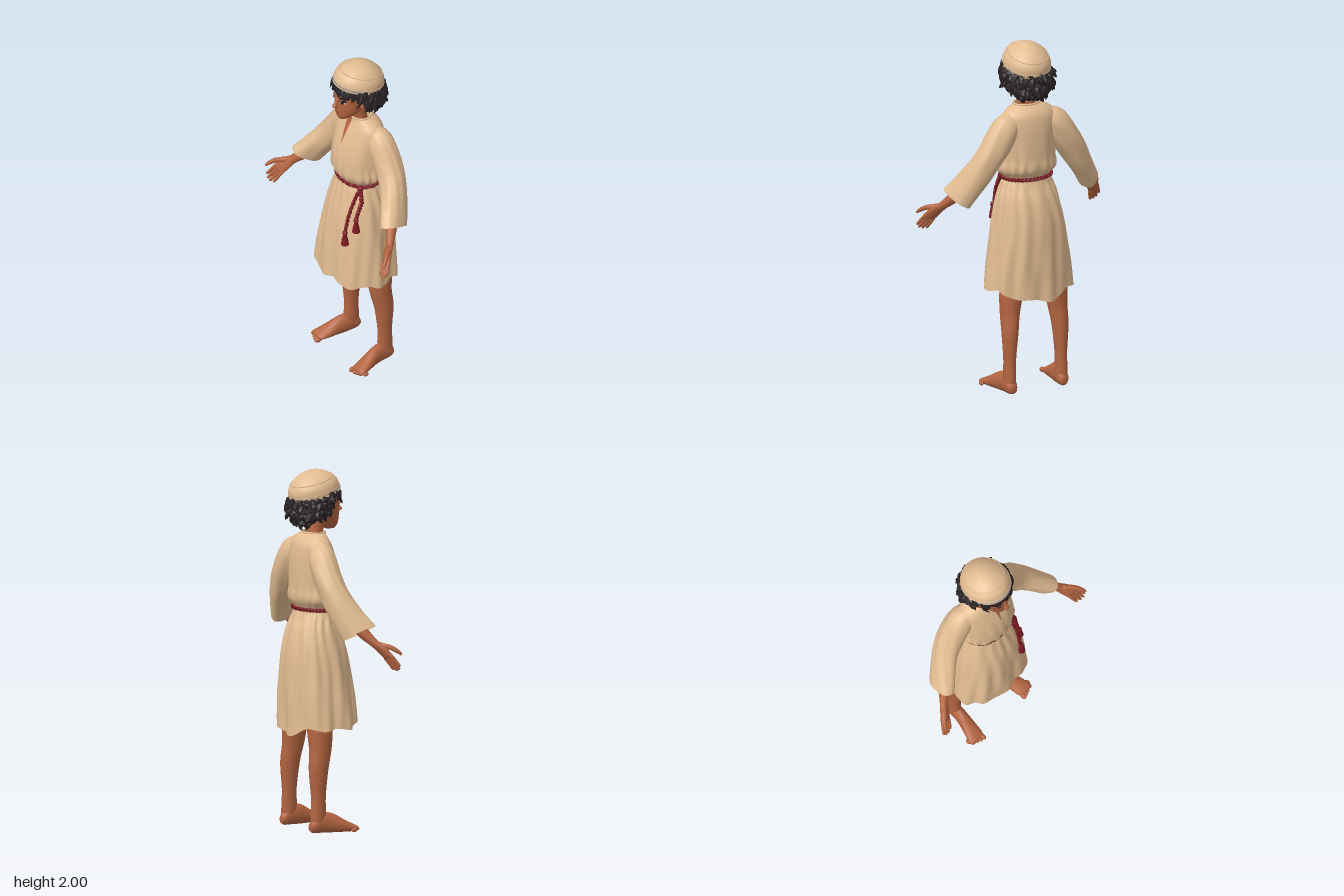
import * as THREE from 'three';
import { mergeGeometries } from 'three/addons/utils/BufferGeometryUtils.js';

const V = (x, y, z) => new THREE.Vector3(x, y, z);
const { clamp, lerp } = THREE.MathUtils;
const TAU = Math.PI * 2;
const UP = V(0, 1, 0);

// Surface from a point rule (t along, s around)
function grid(point, rows, cols, closed = true) {
  const pos = [], idx = [], w = closed ? cols : cols + 1;
  for (let i = 0; i <= rows; i++) for (let j = 0; j < w; j++) pos.push(...point(i / rows, j / cols).toArray());
  for (let i = 0; i < rows; i++) for (let j = 0; j < cols; j++) {
    const a = i * w + j, b = i * w + (j + 1) % w;
    idx.push(a, b, b + w, a, b + w, a + w);
  }
  const g = new THREE.BufferGeometry();
  g.setAttribute('position', new THREE.Float32BufferAttribute(pos, 3));
  g.setIndex(idx);
  g.computeVertexNormals();
  return g;
}

// Elliptical limb through sections [x, y, z, radius across, radius deep]
function limb(secs, { axis, ref = V(0, 0, 1), wave = () => 1 } = {}) {
  const it = new THREE.CubicInterpolant(secs.map((_, i) => i), secs.flat(), 5, new Float32Array(5));
  const at = (k) => [...it.evaluate(clamp(k, 0, 1) * (secs.length - 1))];
  return (t, s, scale = 1) => {
    const c = at(t), p = at(t - 0.01), q = at(t + 0.01);
    const T = axis || V(q[0] - p[0], q[1] - p[1], q[2] - p[2]).normalize();
    const u = T.clone().cross(ref).normalize(), v = T.clone().cross(u), m = scale * wave(t, s * TAU);
    return V(c[0], c[1], c[2]).addScaledVector(u, c[3] * m * Math.cos(s * TAU)).addScaledVector(v, c[4] * m * Math.sin(s * TAU));
  };
}
function solid(secs, opts = {}, rows = 18, n = 16) {
  const f = limb(secs, opts);
  return grid((t, s) => f(clamp((t * rows - 1) / (rows - 2), 0, 1), s, t === 0 || t === 1 ? 0 : 1), rows, n);
}

// Upright shell through sections [y, rx, rz, centre z, centre x]; angle 0 faces the front
function shell(secs, fold = () => 1) {
  const it = new THREE.CubicInterpolant(secs.map((s) => s[0]), secs.flatMap(([, rx, rz, cz, cx = 0]) => [rx, rz, cz, cx]), 4, new Float32Array(4));
  const P = (y, a, off = 0) => {
    const [rx, rz, cz, cx] = it.evaluate(y), m = fold(y, a);
    return V(cx + Math.sin(a) * (rx * m + off), y, cz + Math.cos(a) * (rz * m + off));
  };
  P.front = (x, y, off) => P(y, Math.asin(clamp(x / it.evaluate(y)[0], -1, 1)), off);
  return P;
}
// Thin oval plate laid on the front of a shell
const plate = (P, cx, cy, w, h, off, shear = 0) => grid((t, s) => {
  const x = (s * 2 - 1) * w * Math.sin(t * Math.PI);
  return P.front(cx + x, cy - h * Math.cos(t * Math.PI) + x * shear, off);
}, 10, 8, false);
const tube = (pts, r, n = 12, closed = false) => new THREE.TubeGeometry(new THREE.CatmullRomCurve3(pts, closed), n, r, 6, closed);
const ring = (f, n) => Array.from({ length: n }, (_, i) => f(i / n));

export function createModel() {
  const root = new THREE.Group();
  const mat = (name, color, side = THREE.FrontSide) => new THREE.MeshStandardMaterial({ name, color, side });
  const cloth = mat('cloth', 0xe2bc92, THREE.DoubleSide), skin = mat('skin', 0xb46541, THREE.DoubleSide);
  const hair = mat('hair', 0x272123, THREE.DoubleSide), red = mat('cord red', 0x7c1a22), trim = mat('cap trim', 0x8d8f96);
  const white = mat('eye white', 0xc9bdb3, THREE.DoubleSide), dark = mat('eye dark', 0x1f1715, THREE.DoubleSide);
  const lip = mat('lip', 0x8c4a34, THREE.DoubleSide);
  const add = (name, geo, m, parent = root) => {
    const mesh = new THREE.Mesh(geo, m);
    mesh.name = name;
    parent.add(mesh);
    return mesh;
  };
  let seed = 7;
  const rnd = (a, b) => lerp(a, b, (seed = (seed * 16807) % 2147483647) / 2147483647);

  // Robe: pleated skirt, gathered waist and chest
  const robe = shell([
    [0.52, 0.25, 0.194, -0.008, -0.014], [0.6, 0.246, 0.192, -0.008, -0.012], [0.8, 0.222, 0.183, -0.014, -0.008], [1.0, 0.196, 0.166, -0.02, -0.004],
    [1.12, 0.172, 0.139, -0.02], [1.2, 0.146, 0.112, -0.014], [1.235, 0.137, 0.104, -0.014], [1.275, 0.172, 0.13, -0.014],
    [1.35, 0.168, 0.134, -0.012], [1.46, 0.168, 0.124, -0.02], [1.55, 0.168, 0.104, -0.032], [1.6, 0.156, 0.088, -0.036],
    [1.635, 0.112, 0.068, -0.03], [1.654, 0.072, 0.056, -0.018],
  ], (y, a) => {
    const k = clamp((1.21 - y) / 0.45, 0, 1), puff = Math.exp(-(((y - 1.285) / 0.055) ** 2));
    const gather = clamp((1.21 - y) / 0.04, 0, 1) * clamp((y - 0.8) / 0.35, 0, 1);
    const pleat = Math.sin(9 * a + 1.6 * Math.sin(2 * a + 1) + y * 3);
    const back = clamp((y - 1.2) / 0.15, 0, 1) * clamp((1.58 - y) / 0.15, 0, 1);
    return 1 + k * (0.034 * pleat + 0.014 * Math.sin(17 * a - y * 7) + 0.03 * (1 - Math.cos(4 * a)))
      + gather * 0.03 * Math.sin(15 * a + 2 * Math.sin(a * 3) + y * 9) + puff * 0.028 * Math.sin(17 * a + Math.sin(5 * a))
      + back * 0.015 * Math.sin(13 * a + 2 * Math.sin(3 * a) + y * 6);
  });
  const hem = (a) => 0.596 + 0.01 * Math.sin(7 * a) - 0.055 * Math.max(0, -Math.cos(a)) ** 4 - 0.02 * Math.max(0, -Math.sin(a)) ** 6;
  add('robe', grid((t, s) => robe(lerp(hem(s * TAU), 1.654, t), s * TAU), 70, 144), cloth);
  add('collar', tube(ring((s) => robe(1.652, s * TAU), 24), 0.006, 48, true), cloth);

  // Neck placket and slit
  add('placket', grid((t, s) => robe.front((s * 2 - 1) * 0.03 * Math.min(1, t * 5 + 0.1) * (0.7 + 0.3 * t), lerp(1.415, 1.648, t), 0.004), 24, 6, false), cloth);
  add('neckSlit', grid((t, s) => robe.front((s * 2 - 1) * 0.021 * t, lerp(1.48, 1.655, t), 0.0075), 12, 4, false), skin);

  // Twisted belt cord, knot, hanging tails and tassels
  const belt = new THREE.Group();
  belt.name = 'belt';
  root.add(belt);
  for (const p of [0, Math.PI]) add('beltStrand', tube(ring((s) => {
    const a = s * TAU, tw = 20 * a + p;
    return robe(1.231 + 0.005 * Math.sin(tw), a, 0.006 + 0.005 * Math.cos(tw));
  }, 160), 0.0075, 240, true), red, belt);
  add('beltKnot', new THREE.SphereGeometry(0.018, 12, 8), red, belt).position.copy(robe.front(0.11, 1.225, 0.012));
  for (const [x, end] of [[0.1, 0.957], [0.134, 1.045]]) {
    const drop = (t) => lerp(0.11, x, Math.min(1, t * 2.2));
    for (const p of [0, Math.PI]) add('beltTail', tube(Array.from({ length: 24 }, (_, i) => {
      const t = i / 23;
      return robe.front(drop(t) + 0.004 * Math.sin(i * 1.4 + p), lerp(1.23, end, t), 0.016 + 0.004 * Math.cos(i * 1.4 + p));
    }), 0.0068, 60), red, belt);
    const tassel = new THREE.LatheGeometry([[0.022, -0.082], [0.018, -0.05], [0.011, -0.02], [0.015, -0.008], [0.012, 0.006], [0, 0.012]]
      .map(([r, y]) => new THREE.Vector2(r, y)), 12);
    add('tassel', mergeGeometries([tassel, new THREE.CircleGeometry(0.022, 12).rotateX(Math.PI / 2).translate(0, -0.082, 0)]), red, belt)
      .position.copy(robe.front(x, end, 0.02));
  }

  for (const s of [1, -1]) {
    const side = s > 0 ? 'left' : 'right';
    const m = (secs) => secs.map(([x, ...r]) => [x * s, ...r]);
    // Sleeve with open cuff; the upper edge swings forward towards the cuff
    const sleeve = limb(m([[0.1, 1.568, -0.042, 0.062, 0.055], [0.155, 1.518, -0.055, 0.083, 0.074], [0.225, 1.415, -0.057, 0.08, 0.077],
      [0.295, 1.31, -0.04, 0.074, 0.075], [0.355, 1.22, -0.004, 0.066, 0.075], [0.408, 1.138, 0.036, 0.063, 0.075]]),
    { wave: (t, a) => 1 + t * 0.03 * Math.sin(5 * a + t * 4) + 0.022 * Math.sin(t * Math.PI) * Math.sin(8 * a + 9 * t + 2 * Math.sin(2 * a)) });
    add(side + 'Sleeve', grid((t, j) => {
      const p = sleeve(t, j), mid = sleeve(t, j + 0.5).add(p).multiplyScalar(0.5), k = clamp((t - 0.5) / 0.5, 0, 1);
      p.z += 0.7 * k * (p.y - mid.y);
      p.x += s * 0.15 * k * (p.z - mid.z);
      return p;
    }, 36, 56), cloth);

    // Forearm, palm, fingers and thumb
    const hand = new THREE.Group();
    hand.name = side + 'Arm';
    root.add(hand);
    add('forearm', solid(m([[0.32, 1.27, -0.01, 0.038, 0.038], [0.4, 1.155, 0.047, 0.035, 0.034], [0.455, 1.09, 0.095, 0.025, 0.023],
      [0.478, 1.062, 0.121, 0.032, 0.019], [0.5, 1.03, 0.146, 0.037, 0.017], [0.514, 1.006, 0.16, 0.032, 0.013]])), skin, hand);
    for (let i = 0; i < 4; i++) {
      const d = (i - 1.5) * 0.0175, len = [0.84, 1, 1.05, 0.95][i];
      const at = (t, r) => [0.507 + 0.84 * d * (1 + 0.2 * t) + 0.035 * t * len, 1.018 + 0.54 * d * (1 + 0.2 * t) - 0.078 * t * len,
        0.154 + 0.05 * t * len, r, r];
      add('finger', solid(m([at(0, 0.0105), at(0.5, 0.0102), at(0.9, 0.0085), at(1, 0.005)]), {}, 8, 8), skin, hand);
    }
    add('thumb', solid(m([[0.478, 1.078, 0.118, 0.016, 0.016], [0.524, 1.066, 0.162, 0.014, 0.014], [0.552, 1.042, 0.198, 0.0105, 0.0105],
      [0.561, 1.026, 0.214, 0.006, 0.006]]), {}, 10, 8), skin, hand);

    // Leg, foot and toes
    const leg = new THREE.Group();
    leg.name = side + 'Leg';
    leg.position.x = -0.015;
    root.add(leg);
    add('shin', solid(m([[0.095, 0.9, -0.03, 0.065, 0.065], [0.118, 0.7, -0.055, 0.064, 0.07], [0.137, 0.57, -0.068, 0.065, 0.073],
      [0.148, 0.46, -0.072, 0.054, 0.064], [0.156, 0.35, -0.088, 0.045, 0.057], [0.159, 0.2, -0.091, 0.034, 0.043],
      [0.16, 0.11, -0.091, 0.033, 0.046], [0.161, 0.04, -0.095, 0.032, 0.042]]), { axis: V(0, -1, 0) }, 26), skin, leg);
    const foot = solid(m([[0.158, 0.034, -0.142, 0.018, 0.022], [0.16, 0.044, -0.118, 0.032, 0.044], [0.163, 0.054, -0.06, 0.034, 0.058],
      [0.17, 0.05, -0.01, 0.036, 0.057], [0.182, 0.034, 0.05, 0.044, 0.038], [0.193, 0.022, 0.104, 0.048, 0.021], [0.197, 0.018, 0.125, 0.04, 0.014]]),
    { axis: V(0, 0, 1), ref: UP }, 22, 18);
    const fp = foot.attributes.position;
    for (let i = 0; i < fp.count; i++) fp.setY(i, Math.max(0.002, fp.getY(i)));
    foot.computeVertexNormals();
    add('foot', foot, skin, leg);
    for (let i = 0; i < 5; i++) {
      const r = i ? 0.0115 : 0.015, toe = add('toe', new THREE.SphereGeometry(r, 10, 8), skin, leg);
      toe.position.set(s * (0.163 + i * 0.0178 + (i ? 0.004 : 0)), r + 0.001, 0.13 - i * i * 0.0024);
      toe.scale.z = 1.5;
    }
  }

  // Neck and face
  add('neck', solid([[0, 1.58, -0.03, 0.05, 0.045], [0, 1.65, -0.014, 0.046, 0.046], [0, 1.74, 0, 0.046, 0.052]], { axis: UP }), skin);
  const head = [[0, 1.663, 0.083, 0.018, 0.026], [0, 1.685, 0.068, 0.046, 0.056], [0, 1.72, 0.05, 0.07, 0.079], [0, 1.77, 0.032, 0.086, 0.098],
    [0, 1.82, 0.022, 0.093, 0.108], [0, 1.87, 0.01, 0.096, 0.114], [0, 1.91, 0.005, 0.085, 0.1]];
  add('head', solid(head, { axis: UP }, 26, 28), skin);
  const face = shell(head.map(([, y, z, rx, rz]) => [y, rx, rz, z]));
  add('nose', solid([[0, 1.815, 0.124, 0.008, 0.006], [0, 1.785, 0.136, 0.01, 0.01], [0, 1.765, 0.145, 0.015, 0.014], [0, 1.755, 0.132, 0.013, 0.01]],
    { axis: V(0, -1, 0) }, 12, 12), skin);
  add('mouth', plate(face, 0, 1.722, 0.022, 0.004, 0.003), lip);
  for (const s of [1, -1]) {
    add('eyeWhite', plate(face, s * 0.04, 1.802, 0.017, 0.008, 0.003), white);
    add('iris', plate(face, s * 0.039, 1.802, 0.009, 0.0085, 0.005), dark);
    add('eyelid', plate(face, s * 0.04, 1.811, 0.021, 0.004, 0.006, s * 0.1), dark);
    add('eyebrow', plate(face, s * 0.043, 1.83, 0.026, 0.005, 0.005, s * 0.25), dark);
    const ear = add('ear', new THREE.SphereGeometry(0.027, 12, 10), skin);
    ear.position.set(s * 0.1, 1.775, 0.02);
    ear.scale.set(0.5, 1.15, 0.8);
  }

  // Hair: back shell, shorter at the sides, covered with flaring locks
  const scalp = shell([[1.685, 0.062, 0.06, -0.035], [1.74, 0.098, 0.1, -0.032], [1.8, 0.12, 0.126, -0.022], [1.87, 0.125, 0.132, -0.012], [1.94, 0.108, 0.12, -0.01]]);
  const nape = (a) => 1.745 - 0.05 * clamp(-Math.cos(a) * 1.6, 0, 1);
  const crown = (a) => 1.875 + 0.03 * Math.cos(a);
  add('hairBack', grid((t, s) => {
    const a = lerp(1.3, TAU - 1.3, s);
    return scalp(lerp(nape(a) + 0.015, crown(a), t), a);
  }, 12, 36, false), hair);
  const locks = [];
  const lock = (y, a, out, len, w) => {
    const b = scalp(y, a, -0.008), o = V(Math.sin(a), 0, Math.cos(a)), sideways = V(o.z, 0, -o.x).multiplyScalar(rnd(-0.6, 0.6));
    const at = (t) => b.clone().addScaledVector(o, out * len * t + 0.012 * Math.sin(t * 3)).addScaledVector(sideways, len * t * t).add(V(0, -len * t, 0));
    const sec = (t, r) => [...at(t).toArray(), r, r * 0.6];
    locks.push(solid([sec(0, w), sec(0.4, w * 0.95), sec(0.75, w * 0.55), sec(1, 0.001)], { ref: o }, 7, 5).toNonIndexed());
  };
  for (let r = 0; r < 6; r++) for (let i = 0; i < 22; i++) {
    const a = lerp(1.3, TAU - 1.3, (i + (r % 2) / 2) / 22), low = nape(a) + 0.035;
    lock(lerp(low, crown(a) - 0.008, r / 5) + rnd(-0.008, 0.004), a + rnd(-0.07, 0.07), r < 2 ? rnd(0, 0.3) : rnd(0.3, 0.85), rnd(0.032, 0.058), rnd(0.016, 0.025));
  }
  // Upturned tufts at the temples and back of the head
  for (let i = 0; i < 18; i++) lock(rnd(1.8, 1.85), lerp(1.3, TAU - 1.3, i / 17), rnd(1.5, 2.4), rnd(0.014, 0.024), 0.016);
  // Fringe with a longer lock in the middle
  for (let i = 0; i < 32; i++) {
    const a = lerp(-1.4, 1.4, i / 31);
    lock(rnd(1.885, 1.905), a, rnd(0.1, 0.35), rnd(0.045, 0.07) + 0.05 * Math.abs(a / 1.4) ** 3 + (i === 16 ? 0.03 : 0), rnd(0.012, 0.019));
  }
  for (const g of locks) g.computeVertexNormals();
  add('hairLocks', mergeGeometries(locks), hair);

  // Domed cap, tilted back, with rim, front trim and raised crown seam
  const cap = new THREE.Group();
  cap.name = 'cap';
  cap.position.set(0, 1.868, -0.014);
  cap.rotation.x = -0.25;
  cap.scale.z = 1.12;
  root.add(cap);
  const profile = new THREE.SplineCurve([[0.13, -0.008], [0.131, 0.025], [0.123, 0.055], [0.101, 0.085], [0.068, 0.11], [0.032, 0.126], [0, 0.132]]
    .map(([x, y]) => new THREE.Vector2(x, y))).getPoints(24);
  profile[24].x = 0;
  add('capDome', new THREE.LatheGeometry(profile, 40), cloth, cap);
  const hoop = (name, r, y, w, m, arc = TAU) =>
    add(name, new THREE.TorusGeometry(r, w, 6, 48, arc).rotateZ((Math.PI - arc) / 2).rotateX(Math.PI / 2).translate(0, y, 0), m, cap);
  hoop('capRim', 0.13, -0.006, 0.004, cloth);
  hoop('capTrim', 0.1305, 0.003, 0.004, trim, 2.4);
  hoop('capBand', 0.1305, 0.014, 0.0035, cloth);
  hoop('crownSeam', 0.11, 0.075, 0.003, cloth);
  return root;
}
